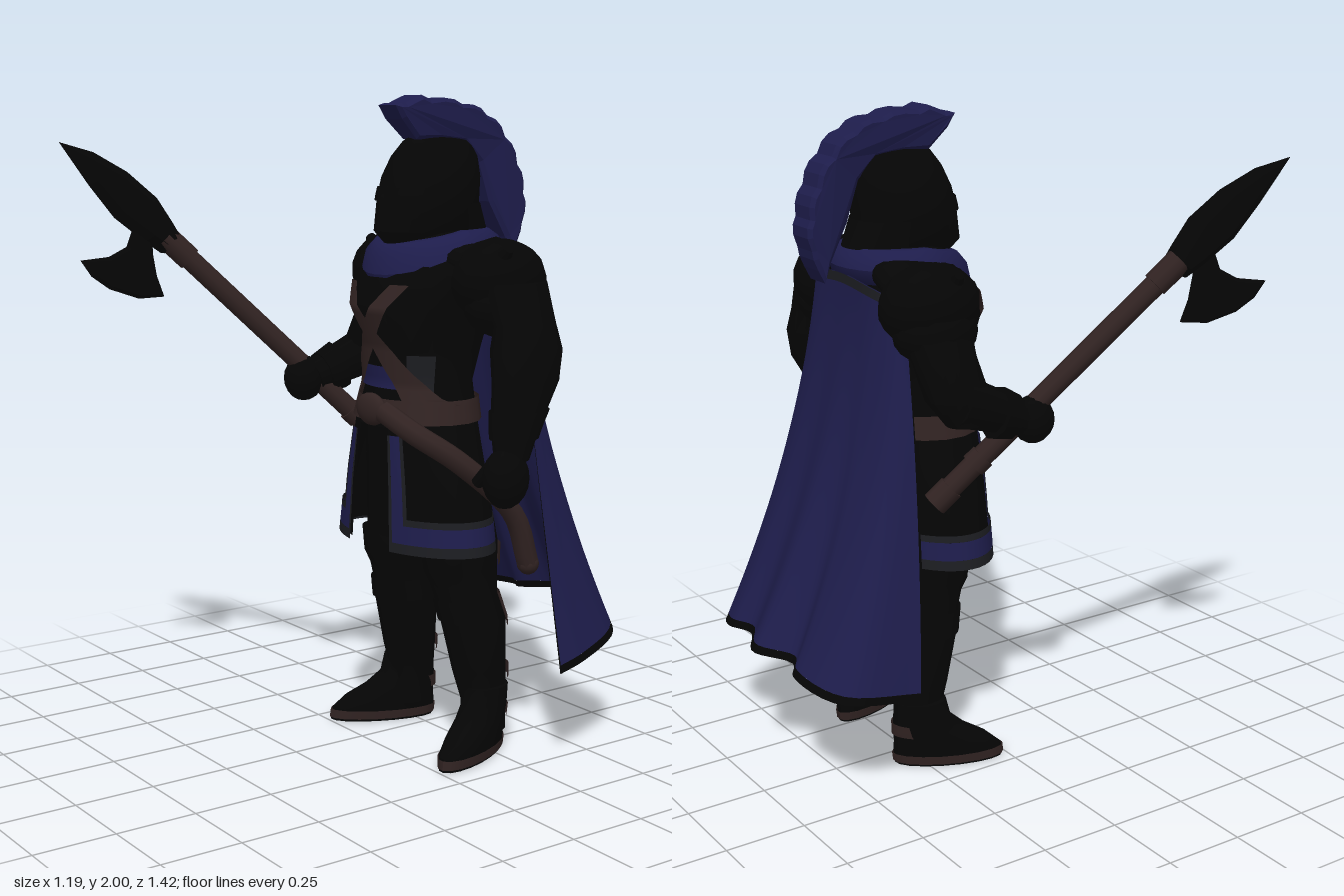
import * as THREE from 'three';
import { toCreasedNormals } from 'three/addons/utils/BufferGeometryUtils.js';
import { ParametricGeometry } from 'three/addons/geometries/ParametricGeometry.js';

const paint = (name, color) => {
  const m = new THREE.MeshStandardMaterial({ color, side: THREE.DoubleSide });
  m.name = name;
  return m;
};

export function createModel() {
  const root = new THREE.Group();
  root.name = 'armouredGuard';
  const black = paint('blackArmour', 0x050505);
  const blue = paint('blueCloth', 0x1e1d4c);
  const brown = paint('brownLeather', 0x312322);
  const grey = paint('greyTrim', 0x1c1d21);
  const CX = 0.105; // the body stands a little off centre
  const TAU = Math.PI * 2;
  const V = (p) => new THREE.Vector3(...p);

  const add = (name, geo, mat, parent = root) => {
    const m = new THREE.Mesh(geo, mat);
    m.name = name;
    parent.add(m);
    return m;
  };

  // Surface through elliptical sections [x, y, z, rx, rz], listed upward; angle 0 faces front
  function loft(secs, a0 = 0, a1 = TAU, n = 18) {
    const pos = [], idx = [];
    secs.forEach(([x, y, z, rx, rz]) => {
      for (let i = 0; i <= n; i++) {
        const a = a0 + (a1 - a0) * i / n;
        pos.push(x + rx * Math.sin(a), y, z + rz * Math.cos(a));
      }
    });
    for (let j = 0; j < secs.length - 1; j++) for (let i = 0; i < n; i++) {
      const p = j * (n + 1) + i, q = p + n + 1;
      idx.push(p, p + 1, q + 1, p, q + 1, q);
    }
    const g = new THREE.BufferGeometry();
    g.setAttribute('position', new THREE.Float32BufferAttribute(pos, 3));
    g.setIndex(idx);
    return toCreasedNormals(g, 0.7);
  }
  // Section of a loft at height y, grown outward
  function at(secs, y, grow = 0) {
    let k = 0;
    while (k < secs.length - 2 && secs[k + 1][1] < y) k++;
    const t = (y - secs[k][1]) / (secs[k + 1][1] - secs[k][1]);
    const s = secs[k].map((v, i) => v + (secs[k + 1][i] - v) * t);
    return [s[0], y, s[2], s[3] + grow, s[4] + grow];
  }
  // Thin plate lying on a loft
  const band = (secs, y0, y1, a0 = 0, a1 = TAU, grow = 0.008) =>
    loft([0, 0.25, 0.5, 0.75, 1].map((t) => at(secs, y0 + (y1 - y0) * t, grow)), a0, a1);
  const capped = (s) => {
    const b = s[0], t = s[s.length - 1];
    return [[b[0], b[1], b[2], 0, 0], ...s, [t[0], t[1], t[2], 0, 0]];
  };
  function ball(name, mat, c, r, parent) {
    const m = add(name, new THREE.SphereGeometry(1, 14, 10), mat, parent);
    m.position.set(...c);
    m.scale.set(...r);
    return m;
  }
  function rod(name, mat, a, b, ra, rb, parent) {
    const A = V(a), B = V(b), d = B.clone().sub(A);
    const m = add(name, new THREE.CylinderGeometry(rb, ra, d.length(), 10), mat, parent);
    m.position.copy(A).add(B).multiplyScalar(0.5);
    m.quaternion.setFromUnitVectors(new THREE.Vector3(0, 1, 0), d.normalize());
    return m;
  }
  // Outline in (z, y), extruded across x
  function sideExtrude(pts, width, cx, bevel = 0.01) {
    const g = new THREE.ExtrudeGeometry(new THREE.Shape(pts.map((p) => new THREE.Vector2(...p))), {
      depth: width - 2 * bevel, bevelEnabled: bevel > 0, bevelSize: bevel, bevelThickness: bevel,
      bevelOffset: -bevel, bevelSegments: 1 });
    return g.rotateY(-Math.PI / 2).translate(cx + width / 2 - bevel, 0, 0);
  }

  // Torso, belt and sash
  const torso = [[CX, 1.02, -0.13, 0.21, 0.17], [CX, 1.15, -0.14, 0.18, 0.15], [CX, 1.25, -0.15, 0.19, 0.17],
    [CX, 1.38, -0.15, 0.22, 0.21], [CX, 1.48, -0.17, 0.25, 0.19], [CX, 1.55, -0.19, 0.2, 0.16], [CX, 1.61, -0.19, 0.1, 0.1]];
  add('torso', loft(capped(torso)), black);
  add('belt', band(torso, 1.035, 1.105, 0, TAU, 0.014), brown);
  add('sash', band(torso, 1.135, 1.2, -0.6, 0.6), blue);
  for (const s of [-1, 1]) add('flankTrim', band(torso, 1.13, 1.24, s > 0 ? 0.62 : -1.1, s > 0 ? 1.1 : -0.62), grey);

  // Crossed chest straps that follow the chest, broader toward the belt
  for (const s of [-1, 1]) {
    add('chestStrap', new ParametricGeometry((u, v, out) => {
      const y = 1.09 + 0.36 * v;
      const x = s * (0.165 - 0.28 * v) + (u - 0.5) * (0.09 - 0.03 * v);
      const [, , cz, rx, rz] = at(torso, y, 0.014);
      out.set(CX + x, y, cz + rz * Math.sqrt(Math.max(0, 1 - (x / rx) ** 2)));
    }, 3, 16), brown);
  }
  ball('buckle', brown, [CX, 1.07, 0.04], [0.07, 0.05, 0.025]);

  // Split skirt with trimmed blue borders
  const skirt = [[CX, 0.65, -0.13, 0.31, 0.18], [CX, 0.85, -0.13, 0.275, 0.175], [CX, 1.07, -0.13, 0.205, 0.165]];
  add('skirt', band(skirt, 0.66, 1.07, 0.33, TAU - 0.33, 0), black);
  add('loinCloth', loft(capped([[CX, 0.67, -0.14, 0.2, 0.13], [CX, 1.05, -0.14, 0.19, 0.15]])), black);
  for (const s of [-1, 1]) {
    const span = (a, b) => (s > 0 ? [a, b] : [-b, -a]);
    add('skirtHem', band(skirt, 0.65, 0.68, ...span(0.33, 2.9)), grey);
    add('skirtBorder', band(skirt, 0.68, 0.735, ...span(0.37, 2.9)), blue);
    add('skirtFrontBorder', band(skirt, 0.73, 1.0, ...span(0.37, 0.52)), blue);
    add('skirtEdge', band(skirt, 0.68, 1.0, ...span(0.33, 0.37)), grey);
    add('skirtInnerTrim', band(skirt, 0.735, 0.755, ...span(0.52, 2.9)), grey);
    add('skirtInnerEdge', band(skirt, 0.75, 1.0, ...span(0.52, 0.57)), grey);
  }

  // Scabbard hung from the belt
  const hang = new THREE.CatmullRomCurve3([[0.17, 1.07, 0.04], [0.29, 1.02, 0.02], [0.375, 0.93, -0.09],
    [0.405, 0.76, -0.27], [0.405, 0.6, -0.33]].map(V));
  add('scabbard', new THREE.TubeGeometry(hang, 20, 0.034, 8), brown);
  ball('scabbardTip', brown, [0.405, 0.6, -0.33], [0.034, 0.034, 0.034]);

  // Legs and boots, mirrored about the body's middle
  const legSecs = [[0.185, 0.06, -0.255, 0.06, 0.075], [0.185, 0.16, -0.255, 0.062, 0.075], [0.18, 0.26, -0.24, 0.075, 0.09],
    [0.172, 0.42, -0.22, 0.095, 0.105], [0.16, 0.5, -0.2, 0.085, 0.105], [0.15, 0.58, -0.19, 0.095, 0.12],
    [0.145, 0.66, -0.19, 0.1, 0.125], [0.11, 0.9, -0.16, 0.11, 0.12]];
  const boot = [[0, 0, 0.11, 0.058, 0.17], [0, 0.04, 0.105, 0.062, 0.17], [0, 0.075, 0.085, 0.064, 0.148],
    [0, 0.11, 0.05, 0.064, 0.115], [0, 0.15, 0.025, 0.064, 0.09], [0, 0.21, 0.02, 0.068, 0.08]];
  for (const s of [-1, 1]) {
    const leg = new THREE.Group();
    leg.name = s > 0 ? 'leftLeg' : 'rightLeg';
    leg.position.x = CX;
    root.add(leg);
    const secs = legSecs.map(([x, ...r]) => [s * x, ...r]);
    add('legArmour', loft(capped(secs)), black, leg);
    for (const [y0, y1] of [[0.23, 0.27], [0.4, 0.5], [0.59, 0.65]])
      add('backStrap', band(secs, y0, y1, Math.PI - 0.9, Math.PI + 0.9), brown, leg);
    add('kneeGuard', loft([[s * 0.155, 0.5, -0.15, 0.05, 0.05], [s * 0.155, 0.58, -0.14, 0.085, 0.075],
      [s * 0.155, 0.66, -0.14, 0.085, 0.085]], -1.4, 1.4), black, leg);
    add('greaveRim', band(secs, 0.42, 0.49, -1.7, 1.7, 0.006), black, leg);
    const foot = new THREE.Group();
    foot.name = 'foot';
    foot.position.set(s * 0.19, 0, -0.27);
    foot.rotation.y = s * 0.4;
    leg.add(foot);
    add('boot', loft(capped(boot)), black, foot);
    add('welt', band(boot, 0.008, 0.036, 0, TAU, 0.005), brown, foot);
    add('heelStrap', band(boot, 0.1, 0.14, Math.PI - 1, Math.PI + 1, 0.005), brown, foot);
  }

  // Layered shoulder plates
  for (const s of [-1, 1]) {
    const x = CX + s * 0.25;
    ball('shoulderPlate', black, [x, 1.46, -0.24], [0.12, 0.125, 0.16]).rotation.z = -s * 0.35;
    ball('lowerShoulderPlate', black, [x + s * 0.03, 1.39, -0.24], [0.1, 0.095, 0.135]);
    ball('collarPlate', black, [x - s * 0.08, 1.53, -0.23], [0.12, 0.055, 0.14]).rotation.z = -s * 0.45;
    rod('shoulderSpur', black, [x + s * 0.03, 1.5, -0.2], [x + s * 0.095, 1.56, -0.2], 0.05, 0.015);
  }

  // Left arm hangs at the side
  const leftArm = [[0.535, 0.96, -0.15, 0.045, 0.055], [0.52, 1.05, -0.175, 0.058, 0.08], [0.505, 1.18, -0.225, 0.07, 0.115],
    [0.488, 1.27, -0.24, 0.085, 0.12], [0.475, 1.34, -0.245, 0.07, 0.105], [0.4, 1.46, -0.25, 0.09, 0.12]];
  add('leftArm', loft(capped(leftArm)), black);
  add('leftCuff', band(leftArm, 1.02, 1.1, 0, TAU, 0.007), black);
  ball('leftHand', black, [0.54, 0.91, -0.125], [0.06, 0.09, 0.075]);
  rod('leftThumb', black, [0.52, 0.94, -0.09], [0.475, 0.89, -0.07], 0.025, 0.018);

  // Right arm bends forward to the weapon
  add('rightUpperArm', loft(capped([[-0.27, 1.13, -0.2, 0.05, 0.06], [-0.26, 1.21, -0.22, 0.08, 0.1],
    [-0.22, 1.32, -0.24, 0.08, 0.1], [-0.15, 1.46, -0.25, 0.09, 0.12]])), black);
  rod('rightForearm', black, [-0.265, 1.2, -0.22], [-0.285, 1.12, -0.01], 0.08, 0.055);
  rod('rightCuff', black, [-0.28, 1.15, -0.1], [-0.285, 1.13, -0.045], 0.08, 0.068);
  ball('rightHand', black, [-0.295, 1.115, 0.02], [0.062, 0.072, 0.066]);

  // Polearm: shaft, collars, spear point and axe blade
  const polearm = new THREE.Group();
  polearm.name = 'polearm';
  root.add(polearm);
  const low = V([-0.18, 0.87, -0.25]), high = V([-0.46, 1.57, 0.42]);
  const along = (t) => low.clone().lerp(high, t).toArray();
  rod('shaft', brown, along(0), along(1), 0.033, 0.033, polearm);
  for (const [t0, t1] of [[0, 0.07], [0.16, 0.2], [0.9, 1]])
    rod('shaftCollar', brown, along(t0), along(t1), 0.039, 0.039, polearm);
  // Lay a blade in the shaft's plane, thinning toward the tip
  const onShaftPlane = (g) => {
    const p = g.attributes.position;
    for (let i = 0; i < p.count; i++) {
      const z = p.getZ(i), thin = Math.min(1, Math.max(0.1, (0.72 - z) / 0.24));
      p.setX(i, p.getX(i) * thin - 0.27 - 0.45 * z);
    }
    g.computeVertexNormals();
    return g;
  };
  const point = [[0.71, 1.86], [0.62, 1.83], [0.53, 1.77], [0.45, 1.69], [0.405, 1.61], [0.38, 1.56], [0.43, 1.52], [0.48, 1.56], [0.56, 1.63], [0.63, 1.73]];
  const axe = [[0.46, 1.58], [0.46, 1.52], [0.45, 1.45], [0.43, 1.385], [0.5, 1.38], [0.58, 1.41], [0.63, 1.45], [0.66, 1.5], [0.58, 1.51], [0.53, 1.54], [0.51, 1.6]];
  add('spearPoint', onShaftPlane(sideExtrude(point, 0.075, 0, 0.022)), black, polearm);
  add('axeBlade', onShaftPlane(sideExtrude(axe, 0.03, 0, 0.01)), black, polearm);

  // Helmet with brow, nose ridge and neck guard
  const helmet = [[CX, 1.55, -0.16, 0.07, 0.13], [CX, 1.6, -0.16, 0.115, 0.175], [CX, 1.7, -0.17, 0.134, 0.165],
    [CX, 1.76, -0.18, 0.128, 0.16], [CX, 1.82, -0.192, 0.1, 0.145], [CX, 1.865, -0.2, 0.055, 0.12], [CX, 1.885, -0.2, 0.02, 0.09]];
  add('helmet', loft(capped(helmet), 0, TAU, 24), black);
  add('brow', band(helmet, 1.69, 1.73, -1.2, 1.2, 0.006), black);
  add('neckGuard', loft([[CX, 1.6, -0.18, 0.13, 0.19], [CX, 1.68, -0.18, 0.132, 0.158]], Math.PI - 1.3, Math.PI + 1.3), black);
  add('noseRidge', sideExtrude([[-0.05, 1.8], [-0.08, 1.8], [-0.03, 1.58], [0.018, 1.6], [0.004, 1.7]], 0.03, CX, 0.008), black);

  // Crest with a notched outer edge, narrower toward the helmet
  const outer = new THREE.CatmullRomCurve3([[0, 1.97, -0.015], [0, 1.992, -0.1], [0, 1.985, -0.25], [0, 1.945, -0.37],
    [0, 1.86, -0.455], [0, 1.75, -0.505], [0, 1.64, -0.515], [0, 1.52, -0.47]].map(V)).getPoints(26);
  const crestOutline = outer.map((p, i) => (i % 3 === 2 ? [p.z + 0.007, p.y - 0.007] : [p.z, p.y]));
  crestOutline[4][1] = 2;
  crestOutline.push([-0.44, 1.57], [-0.38, 1.68], [-0.34, 1.8], [-0.28, 1.86], [-0.19, 1.87], [-0.1, 1.87], [-0.04, 1.93]);
  const crest = sideExtrude(crestOutline, 0.11, 0, 0.012);
  const cp = crest.attributes.position;
  for (let i = 0; i < cp.count; i++) {
    const reach = Math.hypot(cp.getY(i) - 1.68, cp.getZ(i) + 0.2);
    cp.setX(i, cp.getX(i) * Math.min(1, 0.7 + Math.max(0, reach - 0.19) * 2.5));
  }
  crest.computeVertexNormals();
  add('crest', crest, blue).position.x = CX;

  // Scarf, draped lower at the front
  const scarf = new THREE.TorusGeometry(0.155, 0.057, 10, 28).rotateX(Math.PI / 2);
  const sp = scarf.attributes.position;
  for (let i = 0; i < sp.count; i++) {
    const z = Math.max(0, sp.getZ(i)), y = sp.getY(i);
    sp.setY(i, y * (1 + z * 2.2) - z * 0.36);
  }
  scarf.computeVertexNormals();
  add('scarf', scarf, blue).position.set(CX, 1.55, -0.185);

  // Cape, spreading into folds toward a dark hem
  const capeTop = new THREE.CatmullRomCurve3([[-0.14, 1.47, -0.32], [-0.06, 1.51, -0.375], [CX, 1.53, -0.385], [0.27, 1.51, -0.375], [0.35, 1.47, -0.31]].map(V));
  const capeEnd = new THREE.CatmullRomCurve3([[-0.33, 0.33, -0.38], [-0.27, 0.36, -0.63], [-0.07, 0.38, -0.675], [0.0, 0.39, -0.64], [0.12, 0.4, -0.71],
    [0.25, 0.4, -0.65], [0.36, 0.39, -0.67], [0.5, 0.36, -0.6], [0.57, 0.32, -0.42], [0.585, 0.3, -0.31]].map(V));
  const cape = (name, mat, u0, u1, v0, v1, nu, nv, grow = 0) => add(name, new ParametricGeometry((a, b, out) => {
    const u = u0 + (u1 - u0) * a, v = v0 + (v1 - v0) * b;
    const p = capeTop.getPoint(u), q = capeEnd.getPoint(u);
    out.set(p.x + (q.x - p.x) * v, p.y + (q.y - p.y) * v, p.z + (q.z - p.z) * v ** 1.8 - grow);
  }, nu, nv), mat);
  cape('cape', blue, 0.006, 0.994, 0, 0.98, 48, 20);
  cape('capeHem', black, 0, 1, 0.98, 1, 48, 1);
  cape('capeRightEdge', black, 0, 0.006, 0, 0.98, 1, 20);
  cape('capeLeftEdge', black, 0.994, 1, 0, 0.98, 1, 20);
  cape('capeCollarTrim', grey, 0, 1, 0, 0.025, 24, 1, 0.005);

  return root;
}
